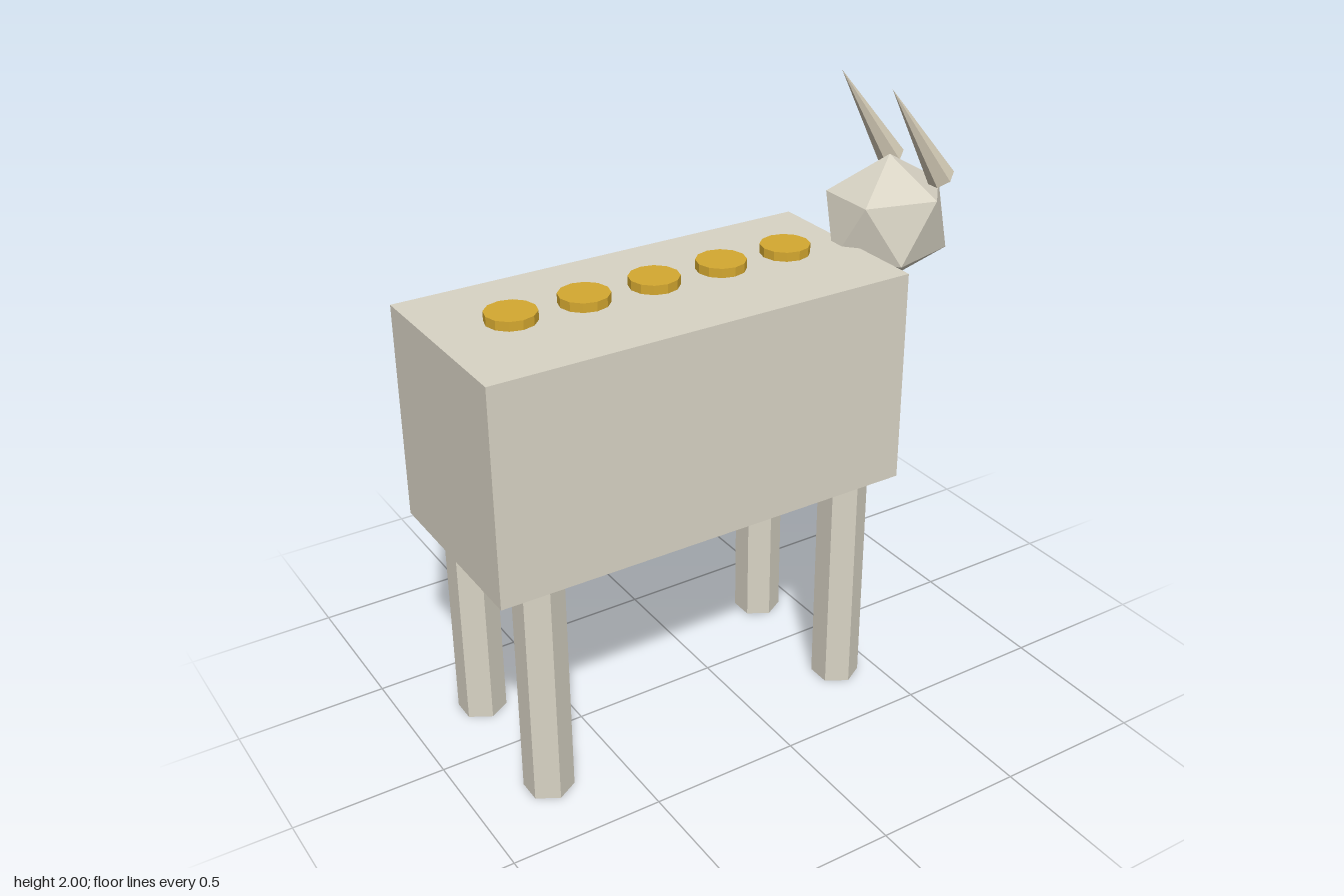
import * as THREE from 'three';

const hide = new THREE.MeshStandardMaterial({ color: 0xd8d3c4, flatShading: true });
const horn = new THREE.MeshStandardMaterial({ color: 0xd6cdb8, flatShading: true });
const gold = new THREE.MeshStandardMaterial({ color: 0xd4a830, flatShading: true });

export function createModel() {
  const model = new THREE.Group();
  model.name = 'hornedAnimal';

  function add(name, geometry, material, x, y, z) {
    const mesh = new THREE.Mesh(geometry, material);
    mesh.name = name;
    mesh.position.set(x, y, z);
    model.add(mesh);
    return mesh;
  }

  // Block body
  add('body', new THREE.BoxGeometry(1.434, 0.714, 0.64), hide, -0.188, 1.119, 0);

  // Four hexagonal legs
  const legGeometry = new THREE.CylinderGeometry(0.08, 0.08, 0.762, 6);
  for (const [end, x] of [['back', -0.747], ['front', 0.37]]) {
    for (const [side, z] of [['Left', -0.24], ['Right', 0.24]]) {
      add(`${end}${side}Leg`, legGeometry, hide, x, 0.381, z);
    }
  }

  // Head: icosahedron turned to stand on a corner, then narrowed
  const headGeometry = new THREE.IcosahedronGeometry(1, 0);
  headGeometry.rotateZ(-Math.atan(2 / (1 + Math.sqrt(5))));
  headGeometry.scale(0.235, 0.22, 0.1975);
  add('head', headGeometry, hide, 0.69, 1.52, 0);

  // Horns sweeping back over the body
  const hornGeometry = new THREE.ConeGeometry(0.045, 0.389, 6);
  for (const [side, z] of [['left', -0.127], ['right', 0.127]]) {
    add(`${side}Horn`, hornGeometry, horn, 0.692, 1.838, z).rotation.z = 0.592;
  }

  // Row of discs along the back
  const discGeometry = new THREE.CylinderGeometry(0.08, 0.08, 0.03, 12);
  for (let i = 0; i < 5; i++) {
    add(`disc${i + 1}`, discGeometry, gold, -0.668 + i * 0.239, 1.506, 0);
  }

  return model;
}
